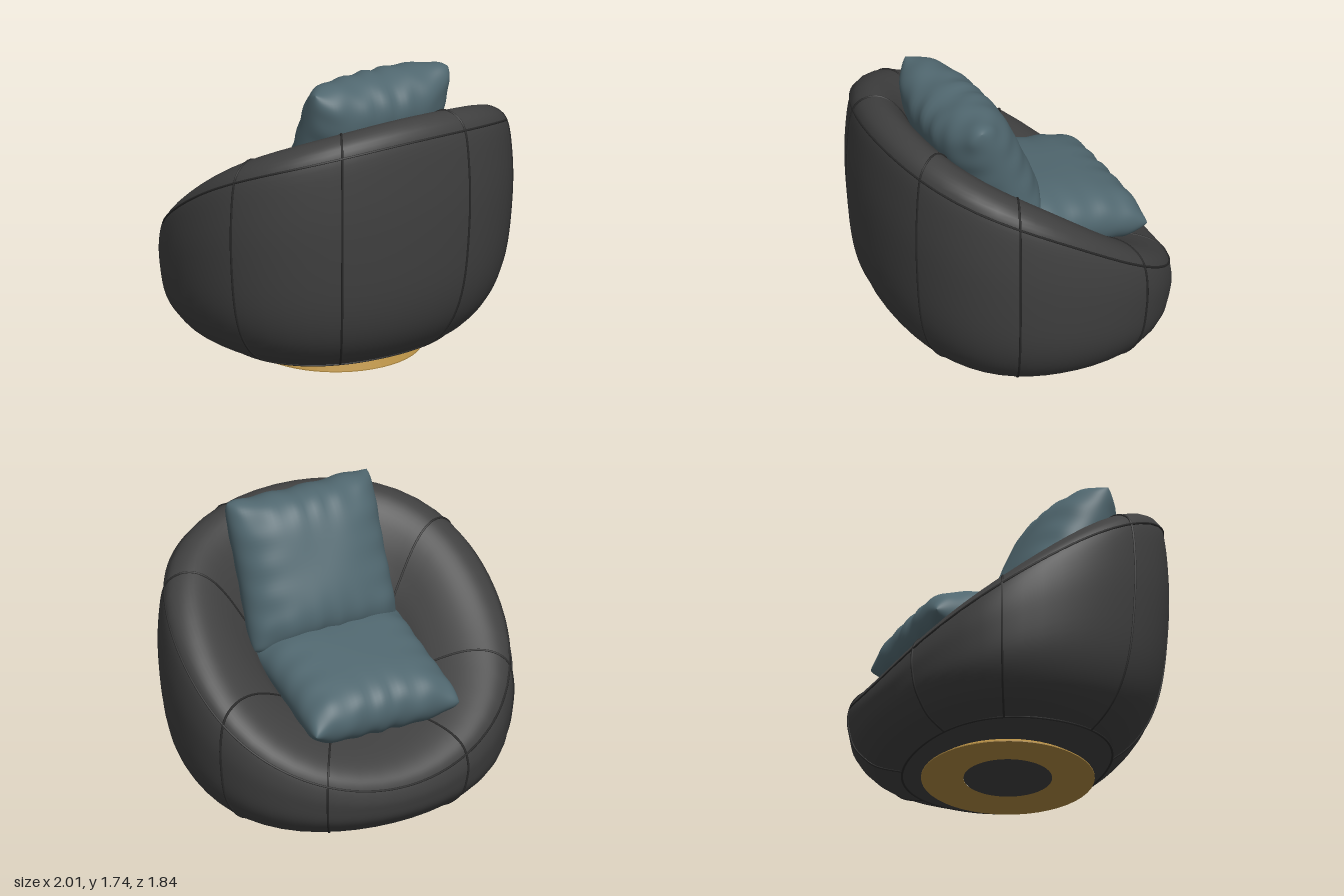
import * as THREE from 'three';
import { mergeGeometries, mergeVertices } from 'three/addons/utils/BufferGeometryUtils.js';

// Smooth grid surface from fn(u, v) -> Vector3, with u and v in 0..1
function surface(fn, nu, nv) {
  const pos = [], idx = [];
  for (let j = 0; j <= nv; j++)
    for (let i = 0; i <= nu; i++) pos.push(...fn(i / nu, j / nv).toArray());
  for (let j = 0; j < nv; j++)
    for (let i = 0; i < nu; i++) {
      const a = j * (nu + 1) + i, b = a + 1, c = b + nu + 1, d = a + nu + 1;
      idx.push(a, b, c, a, c, d);
    }
  const g = new THREE.BufferGeometry();
  g.setAttribute('position', new THREE.Float32BufferAttribute(pos, 3));
  g.setIndex(idx);
  return g;
}

function weld(g) {
  const w = mergeVertices(g, 1e-4);
  w.computeVertexNormals();
  return w;
}

// Body cross-sections [radius factor, height] at the tall back and the low front:
// under the base, up the outside, over the rim and down into the seat
const BACK = [[0.3, 0.04], [0.5, 0.04], [0.65, 0.09], [0.79, 0.195], [0.9, 0.36], [0.967, 0.6], [1, 0.97],
  [0.995, 1.25], [0.965, 1.47], [0.89, 1.55], [0.79, 1.56], [0.69, 1.49], [0.6, 1.35], [0.5, 1.14], [0.36, 0.88], [0, 0.68]];
const FRONT = [[0.3, 0.04], [0.5, 0.04], [0.66, 0.065], [0.82, 0.1], [0.91, 0.16], [0.965, 0.22], [0.99, 0.29],
  [1, 0.35], [0.985, 0.42], [0.95, 0.475], [0.88, 0.52], [0.78, 0.555], [0.66, 0.58], [0.52, 0.6], [0.36, 0.61], [0, 0.63]];
const LAST = BACK.length - 1;
const BOTTOM_SEAM = 2 / LAST, RIM_SEAM = 8 / LAST;

// Point on the body at angle a (0 = back) and profile position t
function bodyPoint(a, t) {
  const b = 0.82 * Math.cos(a);
  const k = (0.66 + 0.68 * b - 0.18 * b * b) / 1.09;
  const profile = new THREE.SplineCurve(BACK.map(([r, y], i) => new THREE.Vector2(
    THREE.MathUtils.lerp(FRONT[i][0], r, k), THREE.MathUtils.lerp(FRONT[i][1], y, k))));
  const p = profile.getPoint(t);
  const r = p.x * (1 + 0.04 * Math.sin(2 * a) ** 2);
  return new THREE.Vector3(1.005 * r * Math.sin(a), p.y, 0.852 * r * Math.cos(a));
}

// Stuffed square cushion: two domed sheets, soft corners, gathered creases.
// A higher fullness keeps the stuffing thick closer to the left and right edges.
function cushionGeometry(w, h, thick, fullness, pinch, seed) {
  const sheet = (side) => surface((i, j) => {
    const u = Math.sin((i - 0.5) * Math.PI) * side, v = Math.sin((j - 0.5) * Math.PI);
    const dome = Math.sqrt(Math.max(0, (1 - Math.abs(u) ** fullness) * (1 - v ** 4)));
    const crease = 0.11 * v ** 4 * Math.sin(19 * u + seed + Math.sin(5 * u)) +
      0.07 * u ** 4 * Math.sin(16 * v + 2 * seed) + 0.015 * Math.sin(5 * u + 4 * v + seed);
    const corner = 1 - 0.05 * u ** 6 * v ** 6;
    const x = w * u * corner * (1 - pinch * (1 - v * v) * u * u);
    const y = h * v * corner * (1 - pinch * (1 - u * u) * v * v + 0.012 * Math.sin(13 * u + seed) * v * v);
    return new THREE.Vector3(x, y, side * thick * dome * (1 + crease));
  }, 48, 48);
  return weld(mergeGeometries([sheet(1), sheet(-1)]));
}

export function createModel() {
  const model = new THREE.Group();
  model.name = 'roundLoungeChair';
  const chair = new THREE.Group();
  chair.name = 'chair';
  chair.rotation.y = THREE.MathUtils.degToRad(28);
  model.add(chair);

  const material = (name, color) => {
    const m = new THREE.MeshStandardMaterial({ color });
    m.name = name;
    return m;
  };
  const charcoal = material('charcoalFabric', 0x404040);
  const piping = material('darkPiping', 0x292929);
  const teal = material('tealFabric', 0x50676f);
  const gold = material('goldBase', 0xb08a42);

  const add = (name, geometry, mat) => {
    const mesh = new THREE.Mesh(geometry, mat);
    mesh.name = name;
    chair.add(mesh);
    return mesh;
  };

  // Upholstered bowl
  add('body', weld(surface((u, v) => bodyPoint(u * Math.PI * 2, v), 48, 60)), charcoal);

  // Piping around the rim and near the floor
  const ring = (name, t) => {
    const pts = Array.from({ length: 48 }, (_, i) => bodyPoint(i / 48 * Math.PI * 2, t));
    add(name, new THREE.TubeGeometry(new THREE.CatmullRomCurve3(pts, true), 144, 0.007, 6, true), piping);
  };
  ring('rimPiping', RIM_SEAM);
  ring('bottomPiping', BOTTOM_SEAM);

  // Eight panel seams running from the floor over the rim into the seat
  for (const degrees of [22, 61, 116, 154, -155, -120, -65, -26]) {
    const a = THREE.MathUtils.degToRad(degrees);
    const pts = Array.from({ length: 40 }, (_, j) =>
      bodyPoint(a, THREE.MathUtils.lerp(BOTTOM_SEAM, 13.5 / LAST, j / 39)));
    add('panelSeam', new THREE.TubeGeometry(new THREE.CatmullRomCurve3(pts), 80, 0.007, 6), piping);
  }

  // Base ring with a dark centre underneath
  const basePts = [[0.25, 0], [0.49, 0], [0.49, 0.006], [0.43, 0.045]].map(([x, y]) => new THREE.Vector2(x, y));
  const baseGeo = new THREE.LatheGeometry(basePts, 48).toNonIndexed();
  baseGeo.computeVertexNormals();
  add('baseRing', baseGeo, gold);
  const centre = add('baseCentre', new THREE.CircleGeometry(0.25, 48), charcoal);
  centre.rotation.x = Math.PI / 2;
  centre.position.y = 0.001;

  // Cushions
  const seat = add('seatCushion', cushionGeometry(0.475, 0.45, 0.19, 3.5, 0.05, 1), teal);
  seat.position.set(0, 0.82, -0.22);
  seat.rotation.x = -(Math.PI / 2 + 0.2);
  const back = add('backCushion', cushionGeometry(0.465, 0.45, 0.22, 2.8, 0.04, 3), teal);
  back.position.set(0.03, 1.32, 0.26);
  back.rotation.x = 0.42;

  return model;
}
